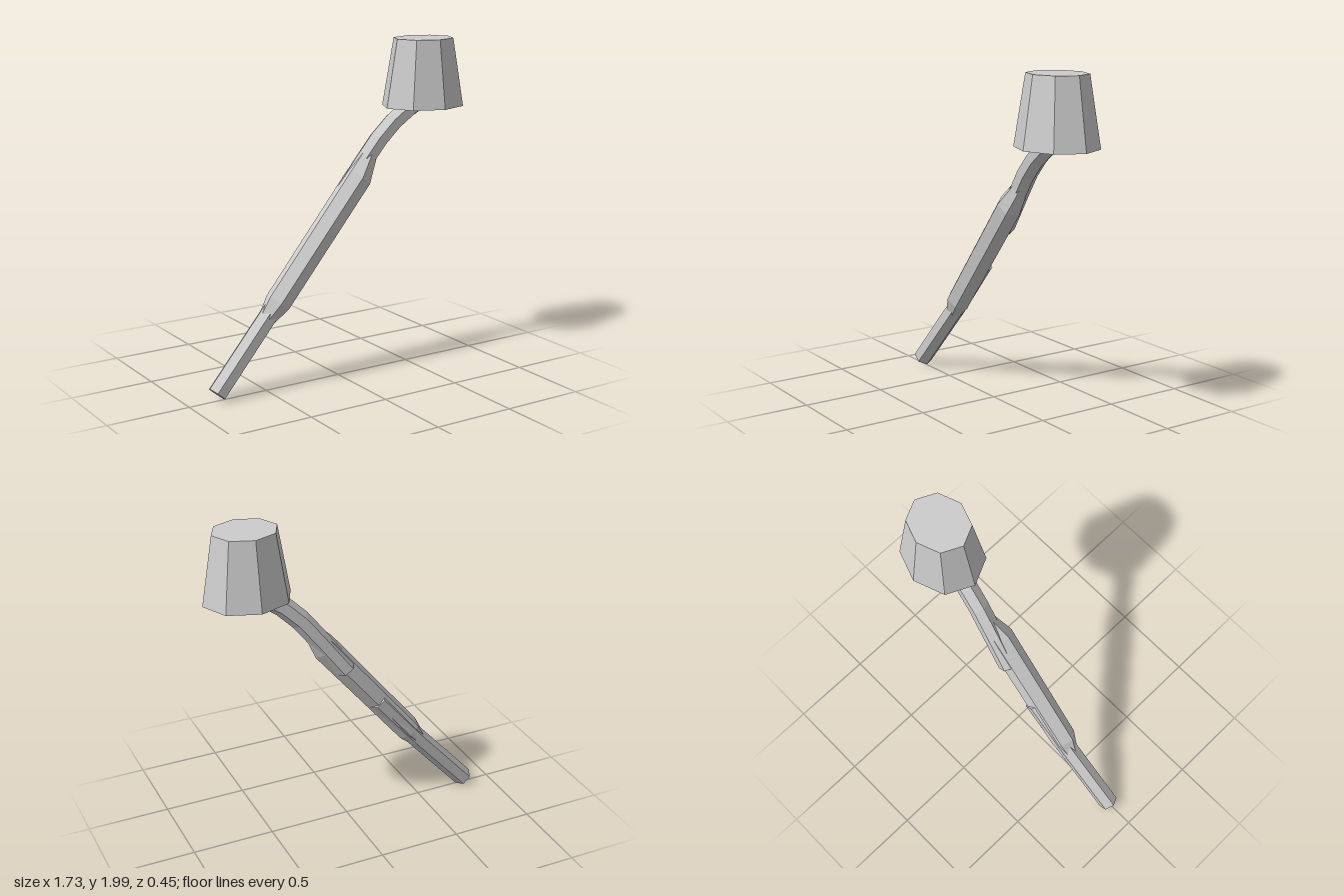
import * as THREE from 'three';

const grey = new THREE.MeshStandardMaterial({ color: 0xcccccc });
grey.name = 'plain grey';

// Faceted mesh: every face gets its own flat normal
function faceted(name, geometry) {
  const g = geometry.index ? geometry.toNonIndexed() : geometry;
  g.computeVertexNormals();
  const mesh = new THREE.Mesh(g, grey);
  mesh.name = name;
  return mesh;
}

// Six-sided rod through sections [x, y, z, radius]; turn rotates the hexagon
function hexRod(sections, turn) {
  const sides = 6;
  const centres = sections.map(([x, y, z]) => new THREE.Vector3(x, y, z));
  const last = centres.length - 1;
  const zAxis = new THREE.Vector3(0, 0, 1);
  const rings = sections.map((section, j) => {
    const along = centres[Math.min(j + 1, last)].clone().sub(centres[Math.max(j - 1, 0)]).normalize();
    const up = zAxis.clone().cross(along).normalize();
    const side = along.clone().cross(up);
    return Array.from({ length: sides }, (_, i) => {
      const a = turn + (i / sides) * Math.PI * 2;
      return centres[j].clone()
        .addScaledVector(side, Math.cos(a) * section[3])
        .addScaledVector(up, Math.sin(a) * section[3]);
    });
  });
  const points = [];
  for (let i = 0; i < sides; i++) {
    const k = (i + 1) % sides;
    for (let j = 0; j < last; j++) {
      const [a, b, c, d] = [rings[j][i], rings[j][k], rings[j + 1][k], rings[j + 1][i]];
      points.push(a, d, c, a, c, b);
    }
    points.push(centres[0], rings[0][i], rings[0][k]);
    points.push(centres[last], rings[last][k], rings[last][i]);
  }
  return new THREE.BufferGeometry().setFromPoints(points);
}

export function createModel() {
  const model = new THREE.Group();
  model.name = 'angledLamp';

  // Tapered eight-sided head, slightly flattened front to back
  const head = faceted('head', new THREE.CylinderGeometry(0.19, 0.26, 0.405, 8).scale(1, 1, 0.865));
  head.position.set(0.605, 1.7975, 0);
  model.add(head);

  // Straight lower rod
  model.add(faceted('lowerRod', hexRod([
    [-0.82, 0.046, -0.005, 0.06],
    [-0.46, 0.45, -0.03, 0.06],
    [-0.18, 0.785, -0.045, 0.06],
  ], Math.PI / 2)));

  // Upper rod bending into the head
  model.add(faceted('upperRod', hexRod([
    [0.03, 1.05, -0.057, 0.06],
    [0.2, 1.28, -0.037, 0.06],
    [0.3, 1.41, -0.025, 0.06],
    [0.4, 1.51, -0.015, 0.06],
    [0.51, 1.59, -0.006, 0.06],
    [0.6, 1.64, 0, 0.06],
  ], Math.PI / 2)));

  // Thicker grip with tapered ends joining the rods
  model.add(faceted('grip', hexRod([
    [-0.48, 0.425, -0.028, 0.05],
    [-0.405, 0.52, -0.018, 0.078],
    [0.15, 1.2, -0.012, 0.081],
    [0.24, 1.33, -0.03, 0.05],
  ], THREE.MathUtils.degToRad(16))));

  return model;
}
